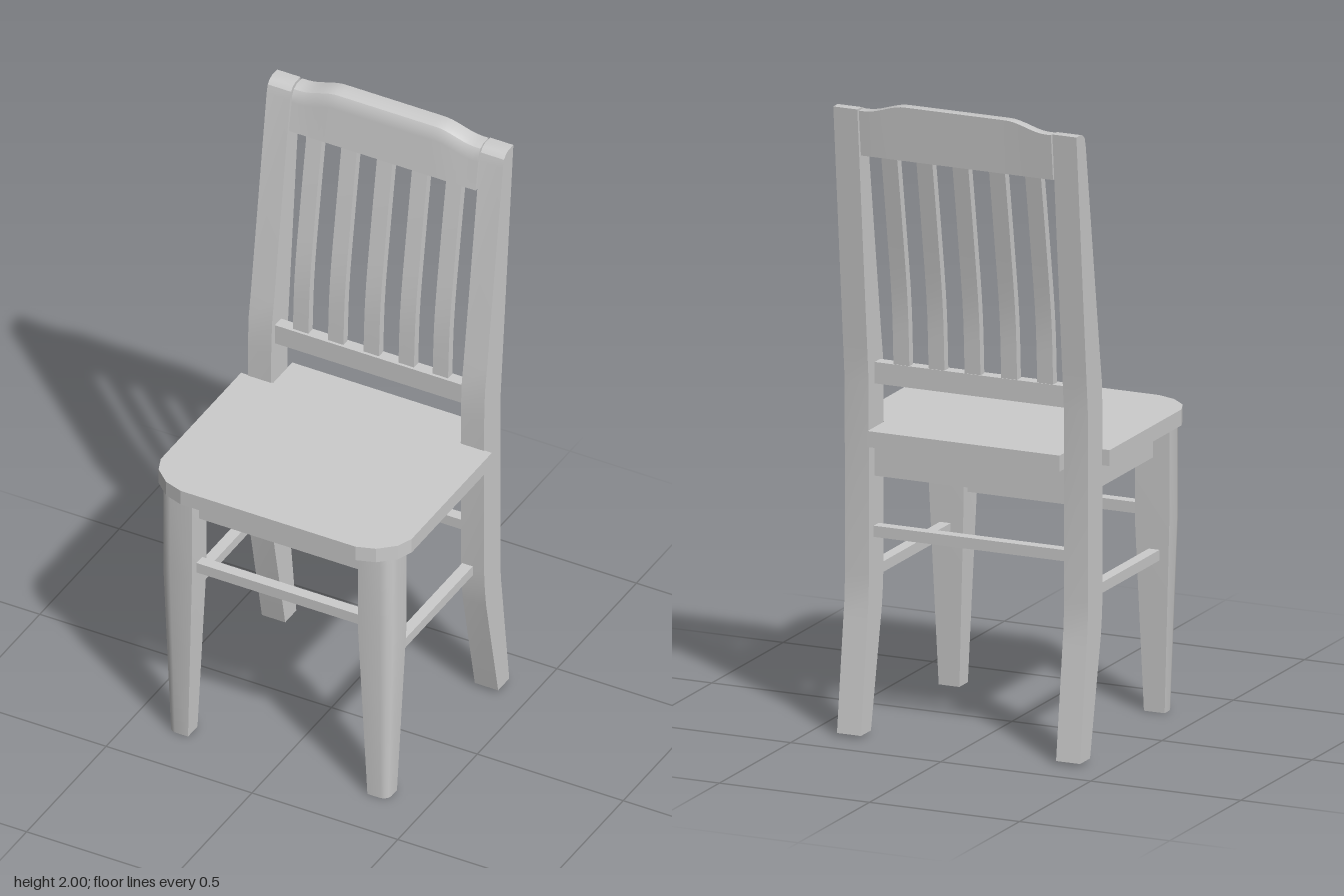
import * as THREE from 'three';
import { toCreasedNormals } from 'three/addons/utils/BufferGeometryUtils.js';

const material = new THREE.MeshStandardMaterial({ color: 0xcccccc });

export function createModel() {
  const chair = new THREE.Group();
  chair.name = 'chair';

  const add = (name, geometry) => {
    const mesh = new THREE.Mesh(geometry, material);
    mesh.name = name;
    chair.add(mesh);
    return mesh;
  };
  const shapeOf = (points) => new THREE.Shape(points.map(([a, b]) => new THREE.Vector2(a, b)));

  // Box given by its limits on each axis
  const box = (name, [x0, x1], [y0, y1], [z0, z1]) =>
    add(name, new THREE.BoxGeometry(x1 - x0, y1 - y0, z1 - z0))
      .position.set((x0 + x1) / 2, (y0 + y1) / 2, (z0 + z1) / 2);

  // Side profile of [z, y] points, extruded along x about a centre
  const sideExtrude = (profile, width, x, steps = 1) =>
    new THREE.ExtrudeGeometry(shapeOf(profile), { depth: width, steps, bevelEnabled: false })
      .rotateY(-Math.PI / 2).translate(x + width / 2, 0, 0);

  // Plan of [x, z] points, extruded upwards from y
  const planExtrude = (plan, height, y, steps = 1) =>
    new THREE.ExtrudeGeometry(shapeOf(plan.map(([x, z]) => [x, -z])), { depth: height, steps, bevelEnabled: false })
      .rotateX(-Math.PI / 2).translate(0, y, 0);

  // Move every vertex by a rule
  const deform = (geometry, rule) => {
    const p = geometry.attributes.position;
    const v = new THREE.Vector3();
    for (let i = 0; i < p.count; i++) {
      rule(v.fromBufferAttribute(p, i));
      p.setXYZ(i, v.x, v.y, v.z);
    }
    return toCreasedNormals(geometry, 0.6);
  };

  // Seat with clipped front corners and a tongue between the back posts
  const half = [[0.32, -0.34], [0.32, -0.22], [0.43, -0.22], [0.43, 0.285], [0.41, 0.335], [0.36, 0.38], [0.3, 0.4]];
  const mirrored = half.map(([x, z]) => [-x, z]).reverse();
  add('seat', planExtrude([...half, ...mirrored], 0.05, 0.905));
  box('apron', [-0.345, 0.345], [0.8, 0.905], [-0.28, 0.31]);

  // Back posts double as back legs
  const post = [
    [-0.305, 0.01], [-0.23, 0.37], [-0.222, 0.43], [-0.217, 0.5], [-0.217, 1.06], [-0.222, 1.17], [-0.235, 1.25],
    [-0.335, 1.93], [-0.342, 1.957], [-0.355, 1.97], [-0.37, 1.975], [-0.401, 1.975],
    [-0.332, 1.22], [-0.321, 1.1], [-0.319, 0.5], [-0.322, 0.42], [-0.33, 0.36], [-0.375, 0.01],
  ];

  for (const s of [1, -1]) {
    const side = s > 0 ? 'left' : 'right';
    add(side + 'BackPost', toCreasedNormals(sideExtrude(post, 0.08, s * 0.365), 0.5));

    // Front leg: rounded outer corner, tapering below the stretcher
    const section = [
      [0.285, 0.262], [0.4, 0.262], [0.4, 0.315], [0.394, 0.335], [0.38, 0.349], [0.36, 0.355], [0.285, 0.355],
    ].map(([x, z]) => [s * x, z]);
    add(side + 'FrontLeg', deform(planExtrude(section, 0.906, 0, 3), (v) => {
      const t = Math.max(0, 1 - v.y / 0.604);
      v.x = s * 0.341 + (v.x - s * 0.341) * (1 - 0.4 * t);
      v.z = 0.308 + (v.z - 0.308) * (1 - 0.36 * t);
    }));
    const x = s * 0.348;
    box(side + 'Stretcher', [x - 0.018, x + 0.018], [0.48, 0.513], [-0.25, 0.29]);
  }

  // Cross stretchers
  box('frontStretcher', [-0.3, 0.3], [0.61, 0.645], [0.29, 0.326]);
  box('backStretcher', [-0.33, 0.33], [0.61, 0.645], [-0.286, -0.25]);

  // Lower back rail
  box('lowerBackRail', [-0.326, 0.326], [1.088, 1.155], [-0.279, -0.24]);

  // Crest rail: rounded front edge, dropping towards the ends
  const crest = [
    [-0.319, 1.828], [-0.336, 1.95], [-0.34, 1.975], [-0.35, 1.992], [-0.368, 2], [-0.401, 2], [-0.386, 1.828],
  ];
  add('crestRail', deform(sideExtrude(crest, 0.64, 0, 32), (v) => {
    if (v.y > 1.9) v.y -= 0.028 * THREE.MathUtils.smoothstep(Math.abs(v.x), 0.17, 0.3);
  }));

  // Curved slats
  const path = new THREE.CatmullRomCurve3(
    [[1.14, -0.249], [1.35, -0.261], [1.6, -0.298], [1.84, -0.338]].map(([y, z]) => new THREE.Vector3(0, y, z)));
  const front = path.getPoints(10).map((p) => [p.z, p.y]);
  const slat = [...front, ...front.map(([z, y]) => [z - 0.027, y]).reverse()];
  for (const x of [-0.242, -0.122, 0, 0.12, 0.237]) {
    add('backSlat', toCreasedNormals(sideExtrude(slat, 0.053, x), 0.5));
  }

  return chair;
}
